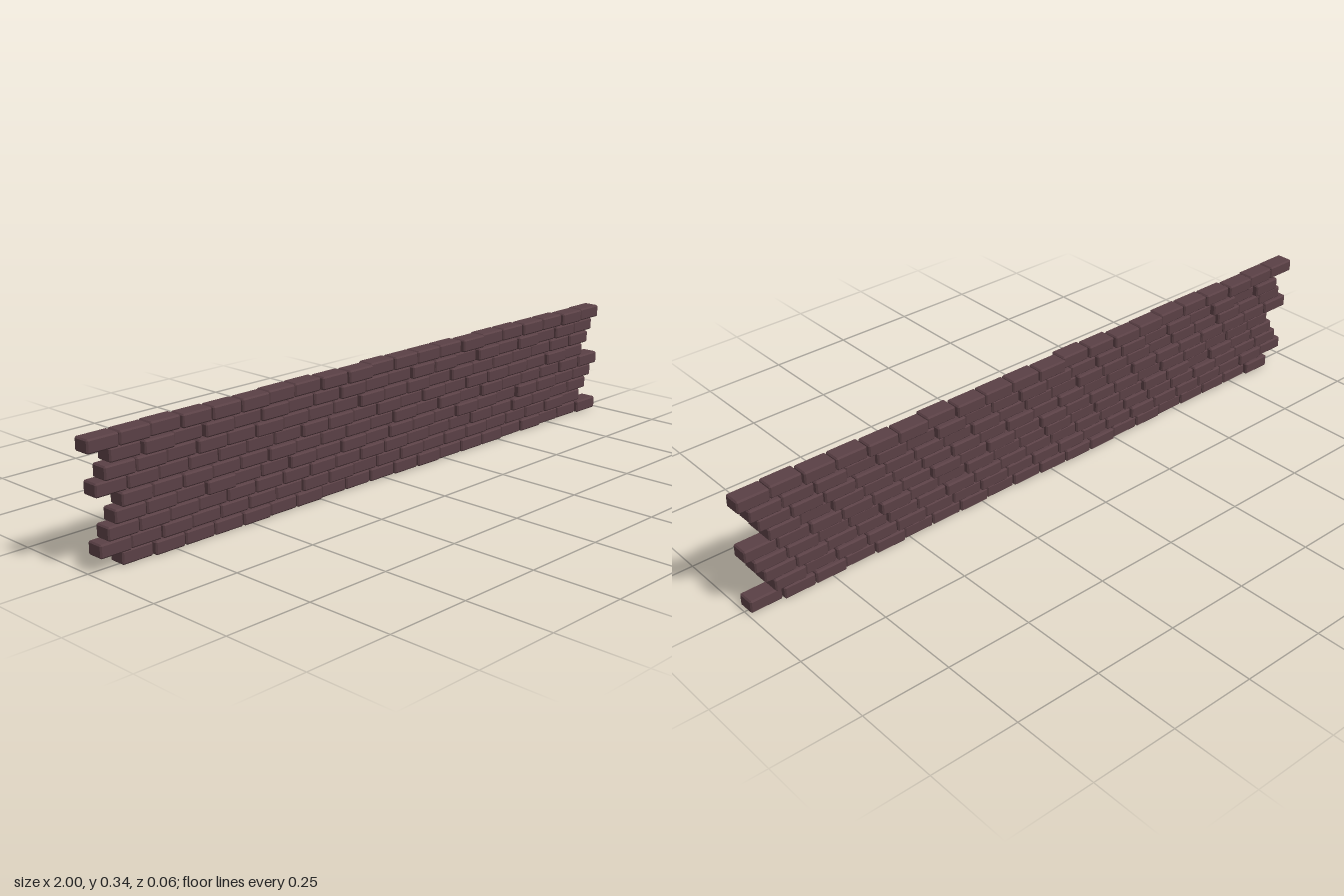
import * as THREE from 'three';
import { ConvexGeometry } from 'three/addons/geometries/ConvexGeometry.js';

const PITCH = 0.0952, ROW = 0.0378;          // spacing along and up the wall
const LENGTH = 0.0925, HEIGHT = 0.0365, DEPTH = 0.051, BEVEL = 0.004;

// Small seeded generator, 0 to 1
function makeRandom(seed) {
  return () => {
    seed = (seed * 16807) % 2147483647;
    return seed / 2147483647;
  };
}

// Box with every edge and corner chamfered
function chamferedBox(w, h, d, b) {
  const points = [];
  for (const x of [-1, 1]) for (const y of [-1, 1]) for (const z of [-1, 1]) {
    for (let axis = 0; axis < 3; axis++) {
      const inset = [b, b, b];
      inset[axis] = 0;
      points.push(new THREE.Vector3(
        x * (w / 2 - inset[0]), y * (h / 2 - inset[1]), z * (d / 2 - inset[2])));
    }
  }
  return new ConvexGeometry(points);
}

export function createModel() {
  const wall = new THREE.Group();
  wall.name = 'brickWall';
  const random = makeRandom(4711);
  const geometry = chamferedBox(LENGTH, HEIGHT, DEPTH, BEVEL);
  const material = new THREE.MeshStandardMaterial({ color: 0x5a4045, flatShading: true });

  // Left edge of each course from the bottom up: a repeating quarter-brick shift
  const starts = [-0.91, -0.98, -0.955, -0.932];
  for (let row = 0; row < 9; row++) {
    const top = row === 8;
    const course = new THREE.Group();
    course.name = `course${row + 1}`;
    const start = top ? -1 : starts[row % 4];
    const count = top ? 21 : 20;
    for (let i = 0; i < count; i++) {
      const brick = new THREE.Mesh(geometry, material);
      brick.name = 'brick';
      // Each brick sits slightly in or out of the wall plane
      const z = (random() - 0.5) * 0.013;
      brick.position.set(start + LENGTH / 2 + i * PITCH, HEIGHT / 2 + row * ROW, z);
      course.add(brick);
    }
    wall.add(course);
  }
  return wall;
}
